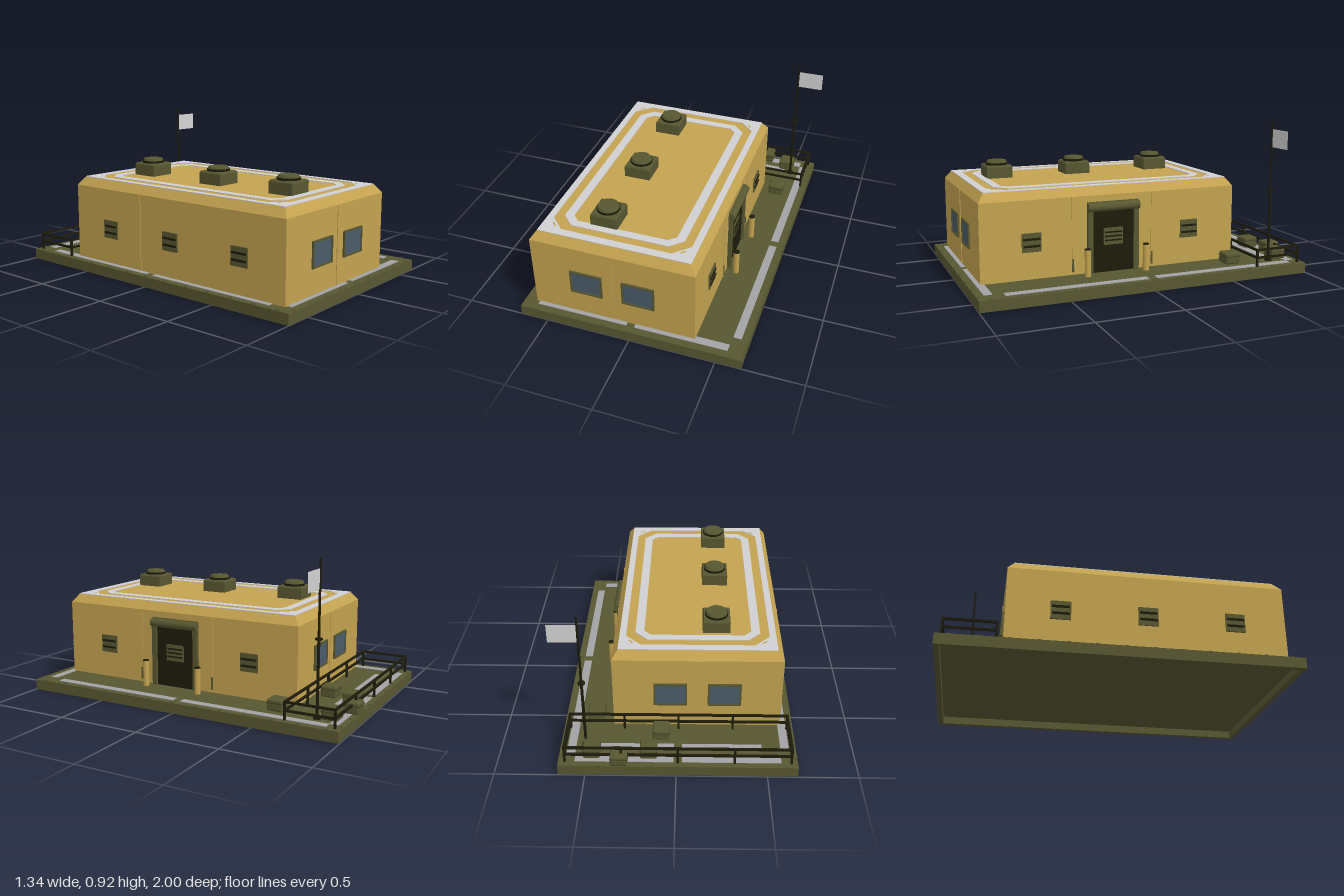
import * as THREE from 'three';
import { RoundedBoxGeometry } from 'three/addons/geometries/RoundedBoxGeometry.js';

const mat = (name, color, side = THREE.FrontSide) => {
  const m = new THREE.MeshStandardMaterial({ color, side });
  m.name = name;
  return m;
};

export function createModel() {
  const root = new THREE.Group();
  root.name = 'fieldBuilding';
  const model = new THREE.Group();
  model.name = 'site';
  model.position.x = 0.003;
  root.add(model);
  const tan = mat('tan', 0xc4a350);
  const olive = mat('olive', 0x585731);
  const darkOlive = mat('darkOlive', 0x38371f);
  const black = mat('blackOlive', 0x1c1b0b);
  const glass = mat('glass', 0x4a5c68);
  const paint = mat('floorPaint', 0xa2a1a5);
  const roofPaint = mat('roofPaint', 0xd0d0d2);
  const cloth = mat('flagCloth', 0xd4d4d4, THREE.DoubleSide);

  const add = (parent, name, geo, m, x = 0, y = 0, z = 0) => {
    const mesh = new THREE.Mesh(geo, m);
    mesh.name = name;
    mesh.position.set(x, y, z);
    parent.add(mesh);
    return mesh;
  };
  const box = (parent, name, m, w, h, d, x, y, z) =>
    add(parent, name, new THREE.BoxGeometry(w, h, d), m, x, y, z);
  const cyl = (parent, name, m, r0, r1, h, x, y, z, n = 20) =>
    add(parent, name, new THREE.CylinderGeometry(r0, r1, h, n), m, x, y, z);
  const group = (name, x = 0, y = 0, z = 0, ry = 0, parent = model) => {
    const g = new THREE.Group();
    g.name = name;
    g.position.set(x, y, z);
    g.rotation.y = ry;
    parent.add(g);
    return g;
  };
  // box whose top is drawn in by the given inset
  const taperedBox = (w, h, d, inset) => {
    const geo = new THREE.BoxGeometry(w, h, d);
    const p = geo.attributes.position;
    for (let i = 0; i < p.count; i++) {
      if (p.getY(i) <= 0) continue;
      p.setX(i, p.getX(i) - Math.sign(p.getX(i)) * inset);
      p.setZ(i, p.getZ(i) - Math.sign(p.getZ(i)) * inset);
    }
    const flat = geo.toNonIndexed();
    flat.computeVertexNormals();
    return flat;
  };
  // corner points of a rectangle with cut corners, centred on 0
  const cutRect = (w, h, c) => {
    const a = w / 2, b = h / 2;
    return [[a - c, b], [-a + c, b], [-a, b - c], [-a, -b + c], [-a + c, -b], [a - c, -b], [a, -b + c], [a, b - c]]
      .map(([x, y]) => new THREE.Vector2(x, y));
  };
  const rect = (w, h) => [[1, 1], [-1, 1], [-1, -1], [1, -1]].map(([x, y]) => new THREE.Vector2(x * w / 2, y * h / 2));
  const frameGeo = (outer, inner, depth) => {
    const s = new THREE.Shape(outer);
    s.holes.push(new THREE.Path(inner));
    return new THREE.ExtrudeGeometry(s, { depth, bevelEnabled: false });
  };

  // Base: a deck on a rim, hollow underneath
  const base = group('base');
  const bw = 1.316, bd = 1.995, bx = -0.012, bz = 0.0025, deckY = 0.045;
  box(base, 'deck', olive, bw, 0.062 - deckY, bd, bx, (0.062 + deckY) / 2, bz);
  add(base, 'baseRim', frameGeo(rect(bw, bd), rect(bw - 0.06, bd - 0.06), deckY), olive, bx, 0, bz).rotation.x = -Math.PI / 2;
  for (let i = 0; i < 9; i++) {
    for (const z of [-0.985, 0.99]) box(base, 'edgeStud', olive, 0.018, 0.005, 0.012, -0.605 + i * 0.148, 0.0645, z);
  }
  for (let i = 0; i < 13; i++) {
    for (const x of [-0.66, 0.636]) box(base, 'edgeStud', olive, 0.012, 0.005, 0.018, x, 0.0645, -0.92 + i * 0.154);
  }

  // Painted floor stripes: x0, x1, z0, z1
  for (const [x0, x1, z0, z1] of [
    [-0.63, -0.583, -0.85, -0.027], [-0.63, -0.583, 0.022, 0.85],
    [0.558, 0.605, -0.91, -0.027], [0.558, 0.605, 0.022, 0.85],
    [-0.58, -0.035, 0.908, 0.955], [0.012, 0.555, 0.908, 0.955],
    [-0.58, -0.035, -0.96, -0.91], [0.012, 0.555, -0.96, -0.91],
    [-0.48, -0.035, -0.863, -0.812], [0.012, 0.46, -0.863, -0.812],
  ]) box(base, 'floorStripe', paint, x1 - x0, 0.003, z1 - z0, (x0 + x1) / 2, 0.0635, (z0 + z1) / 2);

  // Building shell
  const cx = -0.118, cz = 0.144, W = 0.96, D = 1.57, roofY = 0.563;
  box(model, 'walls', tan, W, 0.452, D, cx, 0.288, cz);
  add(model, 'roof', taperedBox(W, 0.049, D, 0.036), tan, cx, 0.5385, cz);

  // Roof markings
  const marks = group('roofMarkings', cx, roofY, cz);
  const ring = (name, outer, inner) => {
    add(marks, name, frameGeo(outer, inner, 0.004), roofPaint).rotation.x = -Math.PI / 2;
  };
  ring('outerRoofBand', rect(0.888, 1.498), cutRect(0.812, 1.405, 0.085));
  ring('innerRoofBand', cutRect(0.71, 1.305, 0.07), cutRect(0.61, 1.21, 0.04));
  for (const sx of [-1, 1]) for (const sz of [-1, 1]) {
    const tick = box(marks, 'cornerTick', tan, 0.035, 0.001, 0.009, sx * 0.376, 0.004, sz * 0.673);
    tick.rotation.y = sx * sz * Math.PI / 4;
  }

  // Roof vents
  for (const z of [-0.355, 0.178, 0.677]) {
    const v = group('roofVent', -0.225, roofY, z);
    box(v, 'ventBox', olive, 0.157, 0.066, 0.157, 0, 0.033, 0);
    add(v, 'ventTop', taperedBox(0.157, 0.01, 0.157, 0.006), olive, 0, 0.071, 0);
    cyl(v, 'ventNeck', black, 0.066, 0.066, 0.013, 0, 0.0825, 0, 28);
    cyl(v, 'ventCap', olive, 0.056, 0.063, 0.014, 0, 0.096, 0, 28);
  }

  // Wall fittings: each sits in a group whose +z points out of the wall
  const wallWindow = (x, z, ry) => {
    const g = group('window', x, 0.284, z, ry);
    add(g, 'windowFrame', frameGeo(rect(0.19, 0.148), rect(0.17, 0.128), 0.011), olive);
    box(g, 'windowGlass', glass, 0.172, 0.13, 0.004, 0, 0, 0.004);
  };
  const louvre = (x, y, z, ry) => {
    const g = group('wallVent', x, y, z, ry);
    box(g, 'ventPlate', olive, 0.112, 0.108, 0.008, 0, 0, 0.004);
    for (const dy of [-0.02, 0.02]) box(g, 'ventSlat', black, 0.098, 0.012, 0.008, 0, dy, 0.01);
  };
  const seam = (x, z, ry) => {
    const g = group('panelSeam', x, 0, z, ry);
    box(g, 'seamStrip', tan, 0.01, 0.45, 0.004, 0, 0.288, 0.002);
  };
  const xR = cx + W / 2, xL = cx - W / 2, zF = cz + D / 2, zB = cz - D / 2, q = Math.PI / 2;
  for (const x of [-0.272, 0.035]) {
    wallWindow(x, zF, 0);
    wallWindow(x, zB, Math.PI);
  }
  seam(cx, zF, 0);
  seam(cx, zB, Math.PI);
  for (const z of [-0.1, 0.392]) {
    seam(xR, z, q);
    box(model, 'seamFoot', olive, 0.008, 0.075, 0.01, xR + 0.003, 0.118, z);
  }
  seam(xL, -0.1, -q);
  for (const z of [-0.343, 0.635]) louvre(xR, 0.274, z, q);
  for (const z of [-0.343, 0.14, 0.635]) louvre(xL, 0.274, z, -q);

  // Door with roller shutter housing
  const door = group('door', xR, 0, 0.148, q);
  box(door, 'doorPanel', black, 0.26, 0.37, 0.008, 0, 0.247, 0.004);
  for (const s of [-1, 1]) box(door, 'doorPost', olive, 0.03, 0.385, 0.022, s * 0.142, 0.2545, 0.011);
  box(door, 'doorLintel', olive, 0.314, 0.05, 0.014, 0, 0.452, 0.007);
  cyl(door, 'shutterRoll', olive, 0.026, 0.026, 0.316, 0, 0.448, 0.014, 24).rotation.z = q;
  box(door, 'doorPlate', olive, 0.118, 0.1, 0.004, 0, 0.272, 0.01);
  for (const dy of [-0.024, 0, 0.024]) box(door, 'doorSlat', black, 0.104, 0.009, 0.004, 0, 0.272 + dy, 0.013);

  // Bollards beside the door
  for (const z of [-0.036, 0.324]) {
    const b = group('bollard', 0.424, 0.062, z);
    cyl(b, 'bollardPost', tan, 0.018, 0.018, 0.155, 0, 0.0775, 0, 16);
    cyl(b, 'bollardCap', black, 0.0185, 0.0185, 0.005, 0, 0.1575, 0, 16);
  }

  // Railing round the rear yard
  const rail = group('railing');
  const rx0 = -0.633, rx1 = 0.608, rz0 = -0.96, rz1 = -0.678, t = 0.012;
  for (const y of [0.115, 0.162]) {
    for (const z of [rz0, rz1]) box(rail, 'longRail', black, rx1 - rx0 + t, t, t, (rx0 + rx1) / 2, y, z);
    for (const x of [rx0, rx1]) box(rail, 'shortRail', black, t, t, rz1 - rz0, x, y, (rz0 + rz1) / 2);
  }
  for (let i = 0; i < 5; i++) {
    for (const z of [rz0, rz1]) box(rail, 'railPost', black, t, 0.1, t, rx0 + (rx1 - rx0) * i / 4, 0.112, z);
  }

  // Supply crates
  for (const [x, z] of [[0.15, -0.89], [0.31, -0.95], [0.465, -0.89], [0.085, -0.735], [0.465, -0.573]]) {
    const c = group('crate', x, 0.062, z);
    add(c, 'crateBody', new RoundedBoxGeometry(0.096, 0.068, 0.096, 2, 0.012), olive, 0, 0.034, 0);
    box(c, 'crateLidLine', darkOlive, 0.097, 0.003, 0.097, 0, 0.046, 0);
  }

  // Flag mast
  const mast = group('flagMast', 0.505, 0.062, -0.82);
  cyl(mast, 'mastFoot', black, 0.02, 0.022, 0.012, 0, 0.006, 0, 16);
  cyl(mast, 'lowerMast', black, 0.008, 0.008, 0.43, 0, 0.215, 0, 12);
  cyl(mast, 'mastCollar', black, 0.02, 0.02, 0.01, 0, 0.432, 0, 16);
  cyl(mast, 'upperMast', black, 0.006, 0.007, 0.42, 0, 0.643, 0, 12);
  add(mast, 'flag', new THREE.PlaneGeometry(0.156, 0.108), cloth, 0.082, 0.749, 0);

  return root;
}
